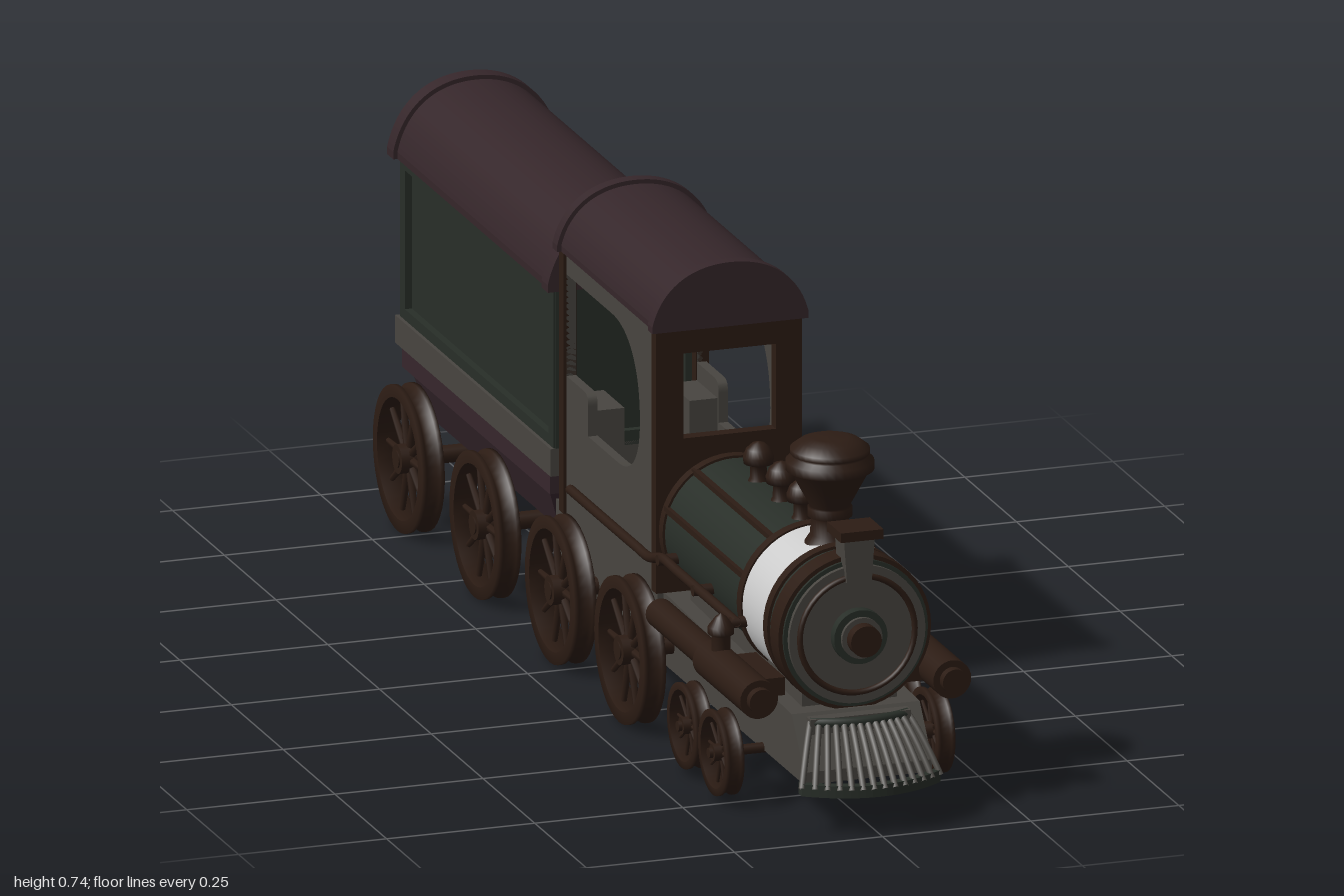
import * as THREE from 'three';

const mat = (color) => new THREE.MeshStandardMaterial({ color, side: THREE.DoubleSide });

export function createModel() {
  const brown = mat(0x2c1c14), maroon = mat(0x35262a), green = mat(0x282e28);
  const stone = mat(0x484540), purple = mat(0x36262c), white = mat(0xcccccc);
  const root = new THREE.Group();
  const add = (name, geo, m, x = 0, y = 0, z = 0, parent = root) => {
    const mesh = new THREE.Mesh(geo, m);
    mesh.name = name;
    mesh.position.set(x, y, z);
    parent.add(mesh);
    return mesh;
  };
  // box given by its limits
  const box = (name, m, x0, x1, y0, y1, z0, z1) =>
    add(name, new THREE.BoxGeometry(x1 - x0, y1 - y0, z1 - z0), m, (x0 + x1) / 2, (y0 + y1) / 2, (z0 + z1) / 2);
  // cylinder along z
  const tubeZ = (name, m, r, x, y, z0, z1, seg = 48) =>
    add(name, new THREE.CylinderGeometry(r, r, z1 - z0, seg).rotateX(Math.PI / 2), m, x, y, (z0 + z1) / 2);
  const lathe = (pts, seg = 32) => new THREE.LatheGeometry(pts.map(([r, y]) => new THREE.Vector2(r, y)), seg);
  const poly = (pts) => new THREE.Shape(pts.map(([x, y]) => new THREE.Vector2(x, y)));
  const rect = (x0, x1, y0, y1) => poly([[x0, y0], [x1, y0], [x1, y1], [x0, y1]]);
  const extrude = (shape, depth) => new THREE.ExtrudeGeometry(shape, { depth, bevelEnabled: false, curveSegments: 24 });
  // shape drawn in (z, y), extruded from x0 to x1
  const extrudeX = (shape, x0, x1) => extrude(shape, x1 - x0).rotateY(-Math.PI / 2).translate(x1, 0, 0);
  const frame = (x0, x1, y0, y1, w) => {
    const s = rect(x0, x1, y0, y1);
    s.holes.push(rect(x0 + w, x1 - w, y0 + w, y1 - w));
    return s;
  };

  // Spoked wheels with a grooved rim
  function wheel(r, w, x, y, z) {
    const g = new THREE.Group();
    g.name = 'wheel';
    const h = w / 2, i = r * 0.83, t = r * 0.94;
    const rim = lathe([[i, -h], [r, -h], [r, -h * 0.6], [t, -h * 0.4], [t, h * 0.4], [r, h * 0.6], [r, h], [i, h], [i, -h]], 40);
    add('rim', rim.rotateZ(-Math.PI / 2), brown, 0, 0, 0, g);
    add('hub', new THREE.CylinderGeometry(r * 0.2, r * 0.2, w * 1.05, 20).rotateZ(Math.PI / 2), brown, 0, 0, 0, g);
    for (let k = 0; k < 10; k++) {
      const spoke = new THREE.CylinderGeometry(r * 0.038, r * 0.06, r * 0.72, 6).translate(0, r * 0.5, 0);
      add('spoke', spoke.rotateX((k + 0.5) * Math.PI / 5), brown, 0, 0, 0, g);
    }
    g.position.set(x, y, z);
    root.add(g);
  }
  const axles = [[0.29, 0.12, 0.038], [-0.045, 0.12, 0.038], [-0.41, 0.12, 0.038], [-0.78, 0.12, 0.038], [0.73, 0.07, 0.03], [0.58, 0.07, 0.03]];
  for (const [z, r, w] of axles) {
    const y = r > 0.1 ? 0.123 : 0.083;
    for (const s of [-1, 1]) wheel(r, w, s * 0.178, y, z);
    add('axle', new THREE.CylinderGeometry(r * 0.12, r * 0.12, 0.4, 16).rotateZ(Math.PI / 2), brown, 0, y, z);
  }

  // Engine frame
  add('engineFrame', extrudeX(poly([[0.93, 0.08], [0.93, 0.1], [0.87, 0.18], [0.24, 0.2], [0.24, 0.08]]), -0.108, 0.108), stone);
  box('boilerSaddle', stone, -0.08, 0.08, 0.17, 0.23, 0.3, 0.84);
  box('cabFloor', stone, -0.118, 0.118, 0.09, 0.21, -0.24, 0.25);
  box('coupling', brown, -0.025, 0.025, 0.145, 0.165, -0.31, -0.22);

  // Boiler, lying along z
  const by = 0.305;
  tubeZ('boiler', green, 0.116, 0, by, 0.25, 0.67);
  tubeZ('whiteBand', white, 0.123, 0, by, 0.665, 0.795);
  tubeZ('smokebox', green, 0.122, 0, by, 0.79, 0.87);
  for (const [z0, z1, r] of [[0.655, 0.675, 0.126], [0.785, 0.805, 0.127], [0.825, 0.865, 0.129], [0.262, 0.28, 0.12]])
    tubeZ('boilerBand', brown, r, 0, by, z0, z1);
  for (const a of [0.35, 1.0, Math.PI - 1.0, Math.PI - 0.35])
    box('boilerStrip', brown, -0.005, 0.005, -0.005, 0.005, 0.27, 0.66).position.set(Math.cos(a) * 0.116, by + Math.sin(a) * 0.116, 0.465);
  tubeZ('smokeboxDoor', stone, 0.115, 0, by, 0.86, 0.878);
  add('doorRing', new THREE.TorusGeometry(0.097, 0.005, 8, 48), brown, 0, by, 0.878);
  tubeZ('doorBoss', green, 0.045, 0, by, 0.87, 0.895, 32);
  tubeZ('doorBossRing', stone, 0.034, 0, by, 0.89, 0.902, 32);
  tubeZ('doorKnob', brown, 0.026, 0, by, 0.895, 0.922, 32);

  // Lamp bracket on the smokebox
  add('lampPost', extrude(poly([[-0.021, 0.395], [0.021, 0.395], [0.026, 0.468], [-0.026, 0.468]]), 0.045), stone, 0, 0, 0.843);
  box('lampCap', brown, -0.036, 0.036, 0.468, 0.484, 0.835, 0.902);

  // Chimney and domes
  add('chimney', lathe([[0.045, 0.415], [0.032, 0.435], [0.03, 0.462], [0.036, 0.465], [0.036, 0.48], [0.032, 0.482],
    [0.063, 0.54], [0.071, 0.543], [0.071, 0.558], [0.06, 0.565], [0.064, 0.57], [0.064, 0.578], [0.048, 0.59], [0.03, 0.596], [0, 0.597]]), brown, 0, 0, 0.745);
  for (const z of [0.61, 0.51, 0.4])
    add('dome', lathe([[0.022, 0.41], [0.014, 0.425], [0.013, 0.445], [0.024, 0.449], [0.025, 0.46], [0.02, 0.473], [0.01, 0.482], [0, 0.485]], 24), brown, 0, 0, z);

  // Side cylinders, valves and handrails
  for (const s of [-1, 1]) {
    tubeZ('steamPipe', brown, 0.024, s * 0.163, 0.212, 0.39, 0.86, 24);
    tubeZ('steamCylinder', brown, 0.032, s * 0.163, 0.21, 0.64, 0.87, 28);
    tubeZ('cylinderCap', brown, 0.021, s * 0.163, 0.21, 0.86, 0.885, 24);
    add('valve', lathe([[0.015, 0.23], [0.015, 0.262], [0.021, 0.266], [0.021, 0.278], [0.009, 0.294], [0, 0.3]], 20), brown, s * 0.163, 0, 0.685);
    const rail = new THREE.CatmullRomCurve3([[0.69, 0.283], [0.4, 0.283], [0.33, 0.283], [0.27, 0.266], [0.2, 0.265], [-0.115, 0.265]]
      .map(([z, y]) => new THREE.Vector3(s * 0.138, y, z)));
    add('handrail', new THREE.TubeGeometry(rail, 40, 0.008, 10), brown);
    for (const z of [0.68, 0.5, 0.33])
      add('railBracket', new THREE.CylinderGeometry(0.009, 0.009, 0.045, 10).rotateZ(Math.PI / 2), brown, s * 0.124, 0.28, z);
    box('cylinderMount', brown, s * 0.125 - 0.03, s * 0.125 + 0.03, 0.19, 0.22, 0.66, 0.8);
  }

  // Cowcatcher: curved bars and fanned ribs
  const arc = (halfW, y, zSide, zMid) => new THREE.QuadraticBezierCurve3(
    new THREE.Vector3(-halfW, y, zSide), new THREE.Vector3(0, y, 2 * zMid - zSide), new THREE.Vector3(halfW, y, zSide));
  const low = arc(0.117, 0.078, 0.945, 0.988), high = arc(0.082, 0.168, 0.885, 0.905);
  const plan = poly(low.getPoints(20).map((p) => [p.x, p.z]).concat(low.getPoints(20).reverse().map((p) => [p.x, p.z - 0.016])));
  add('catcherBar', extrude(plan, 0.02).rotateX(Math.PI / 2).translate(0, 0.086, 0), green);
  add('catcherTop', new THREE.TubeGeometry(high, 20, 0.008, 8), green);
  for (let k = 0; k <= 13; k++) {
    const curve = new THREE.QuadraticBezierCurve3(high.getPoint(k / 13), high.getPoint(k / 13).lerp(low.getPoint(k / 13), 0.45).add(new THREE.Vector3(0, 0.012, 0)), low.getPoint(k / 13));
    add('catcherRib', new THREE.TubeGeometry(curve, 8, 0.0055, 6), stone);
  }
  box('catcherMount', stone, -0.085, 0.085, 0.15, 0.175, 0.84, 0.895);

  // Cab walls
  const front = rect(-0.123, 0.123, 0.2, 0.645);
  front.holes.push(rect(-0.077, 0.079, 0.455, 0.597));
  add('cabFront', extrude(front, 0.022), brown, 0, 0, 0.236);
  const side = rect(-0.2, 0.24, 0.2, 0.645);
  const opening = new THREE.Path();
  opening.moveTo(-0.19, 0.43);
  opening.lineTo(-0.105, 0.43);
  opening.quadraticCurveTo(-0.085, 0.43, -0.085, 0.41);
  opening.lineTo(-0.085, 0.36);
  opening.lineTo(0.06, 0.36);
  opening.bezierCurveTo(0.13, 0.36, 0.165, 0.4, 0.165, 0.46);
  opening.bezierCurveTo(0.165, 0.55, 0.11, 0.6, 0.03, 0.6);
  opening.lineTo(-0.19, 0.6);
  side.holes.push(opening);
  for (const s of [-1, 1]) {
    add('cabSide', extrudeX(side, s * 0.11 - 0.008, s * 0.11 + 0.008), stone);
    box('cabRearPost', brown, s * 0.112 - 0.011, s * 0.112 + 0.011, 0.2, 0.645, -0.211, -0.19);
    box('cabSeat', stone, s * 0.08 - 0.025, s * 0.08 + 0.025, 0.21, 0.4, -0.19, -0.09);
  }
  box('cabRearBeam', brown, -0.11, 0.11, 0.6, 0.645, -0.208, -0.19);

  // Arched roofs with raised end rims
  function roof(name, w, y0, y1, z0, z1, rim) {
    const section = (grow) => {
      const s = new THREE.Shape(), a = w + grow, t = y1 + grow, h = t - y0;
      s.moveTo(-a, y0);
      s.lineTo(-a, y0 + h * 0.1);
      s.bezierCurveTo(-a * 0.88, y0 + h * 0.7, -a * 0.5, t, 0, t);
      s.bezierCurveTo(a * 0.5, t, a * 0.88, y0 + h * 0.7, a, y0 + h * 0.1);
      s.lineTo(a, y0);
      return s;
    };
    add(name, extrude(section(0), z1 - z0 - 0.01), maroon, 0, 0, z0 + 0.005);
    for (const z of [z0, z1 - rim]) add(name + 'Rim', extrude(section(0.007), rim), maroon, 0, 0, z);
  }
  roof('cabRoof', 0.125, 0.637, 0.737, -0.217, 0.265, 0.022);
  roof('tenderRoof', 0.132, 0.562, 0.681, -0.997, -0.22, 0.03);

  // Tender body with framed panels
  box('tenderBody', green, -0.112, 0.112, 0.28, 0.575, -0.965, -0.245);
  for (const s of [-1, 1])
    add('sideFrame', extrudeX(frame(-0.978, -0.235, 0.29, 0.57, 0.024), s * 0.116 - 0.008, s * 0.116 + 0.008), green);
  for (const z of [-0.98, -0.248])
    add('endFrame', extrude(frame(-0.122, 0.122, 0.29, 0.57, 0.024), 0.016), green, 0, 0, z);
  box('tenderLedge', stone, -0.13, 0.13, 0.25, 0.296, -0.985, -0.232);
  box('tenderSill', purple, -0.125, 0.125, 0.215, 0.252, -0.965, -0.25);

  // Underbody narrowing downwards
  const hull = new THREE.BoxGeometry(0.24, 0.08, 0.67);
  const p = hull.attributes.position;
  for (let i = 0; i < p.count; i++) if (p.getY(i) < 0) p.setXYZ(i, p.getX(i) * 0.75, p.getY(i), p.getZ(i) * 0.9);
  hull.computeVertexNormals();
  add('tenderUnderbody', hull, purple, 0, 0.178, -0.605);

  // Single handle on the left side
  add('handleStem', new THREE.CylinderGeometry(0.006, 0.006, 0.05, 10).rotateZ(Math.PI / 2), brown, 0.132, 0.409, -0.505);
  add('handleKnob', new THREE.SphereGeometry(0.014, 20, 14), brown, 0.157, 0.409, -0.505);
  return root;
}
